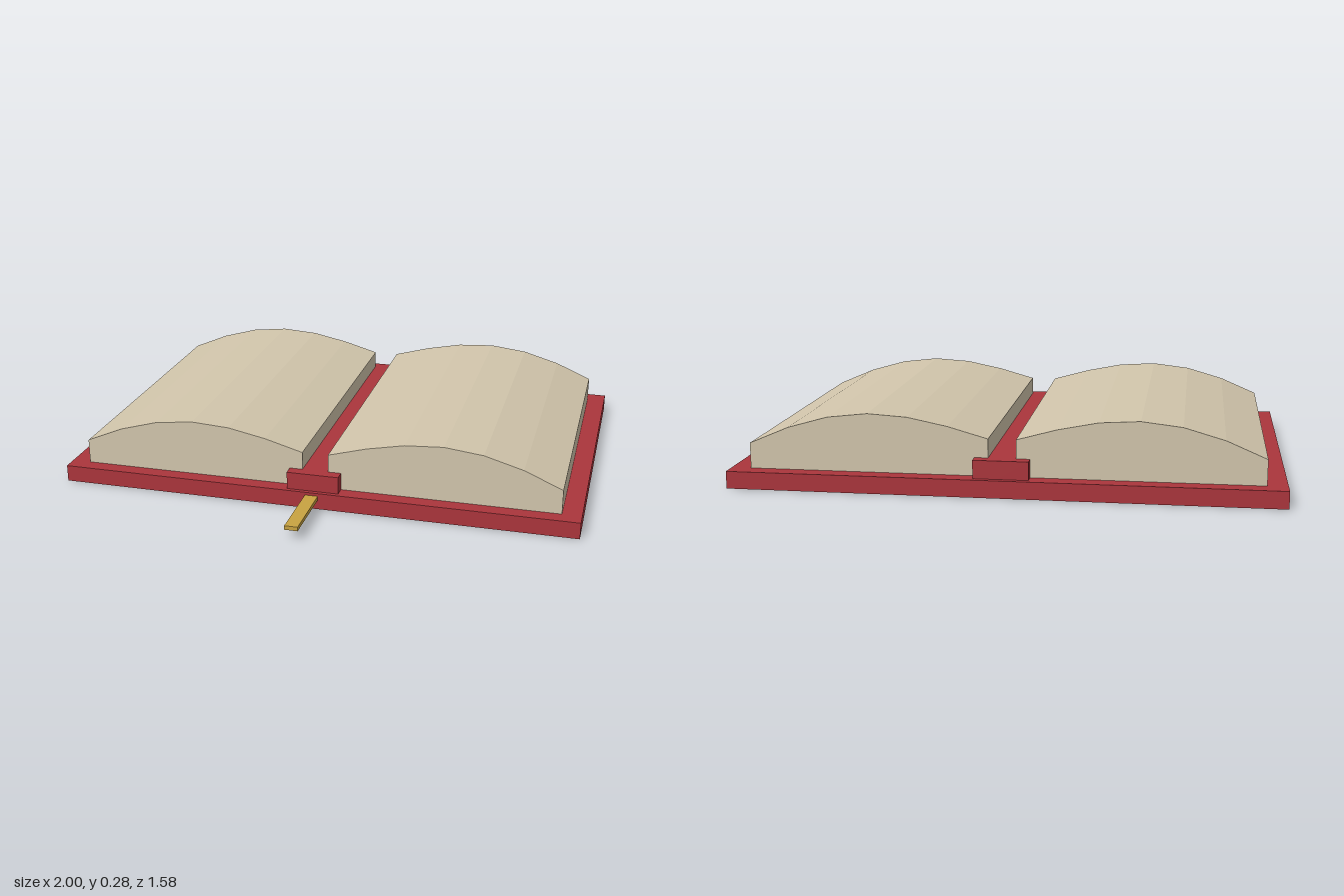
import * as THREE from 'three';

const material = (name, color) => {
  const m = new THREE.MeshStandardMaterial({ color });
  m.name = name;
  return m;
};

export function createModel() {
  const book = new THREE.Group();
  book.name = 'openBook';
  const red = material('coverRed', 0xab353c);
  const cream = material('pageCream', 0xd2c6ac);
  const gold = material('ribbonGold', 0xc9a341);

  const add = (name, geometry, mat) => {
    const mesh = new THREE.Mesh(geometry, mat);
    mesh.name = name;
    book.add(mesh);
    return mesh;
  };
  // Box given by its lower and upper limits on each axis
  const box = (name, mat, [x0, x1], [y0, y1], [z0, z1]) =>
    add(name, new THREE.BoxGeometry(x1 - x0, y1 - y0, z1 - z0), mat)
      .position.set((x0 + x1) / 2, (y0 + y1) / 2, (z0 + z1) / 2);

  // Cover board, raised spine and bookmark
  box('cover', red, [-1, 1], [0, 0.064], [-0.79, 0.527]);
  box('spine', red, [-0.1, 0.1], [0.01, 0.131], [-0.77, 0.511]);
  box('ribbon', gold, [-0.025, 0.025], [0.037, 0.053], [0.3, 0.79]);

  // Arched page blocks: faceted profile from gutter to outer edge
  const profile = [
    [0.05, 0.06], [0.05, 0.2], [0.197, 0.241], [0.342, 0.27], [0.488, 0.279],
    [0.635, 0.262], [0.782, 0.22], [0.927, 0.158], [0.927, 0.06],
  ];
  for (const [name, side] of [['leftPages', 1], ['rightPages', -1]]) {
    const shape = new THREE.Shape(profile.map(([x, y]) => new THREE.Vector2(side * x, y)));
    const pages = new THREE.ExtrudeGeometry(shape, { depth: 1.2, bevelEnabled: false });
    add(name, pages, cream).position.z = -0.73;
  }
  return book;
}
